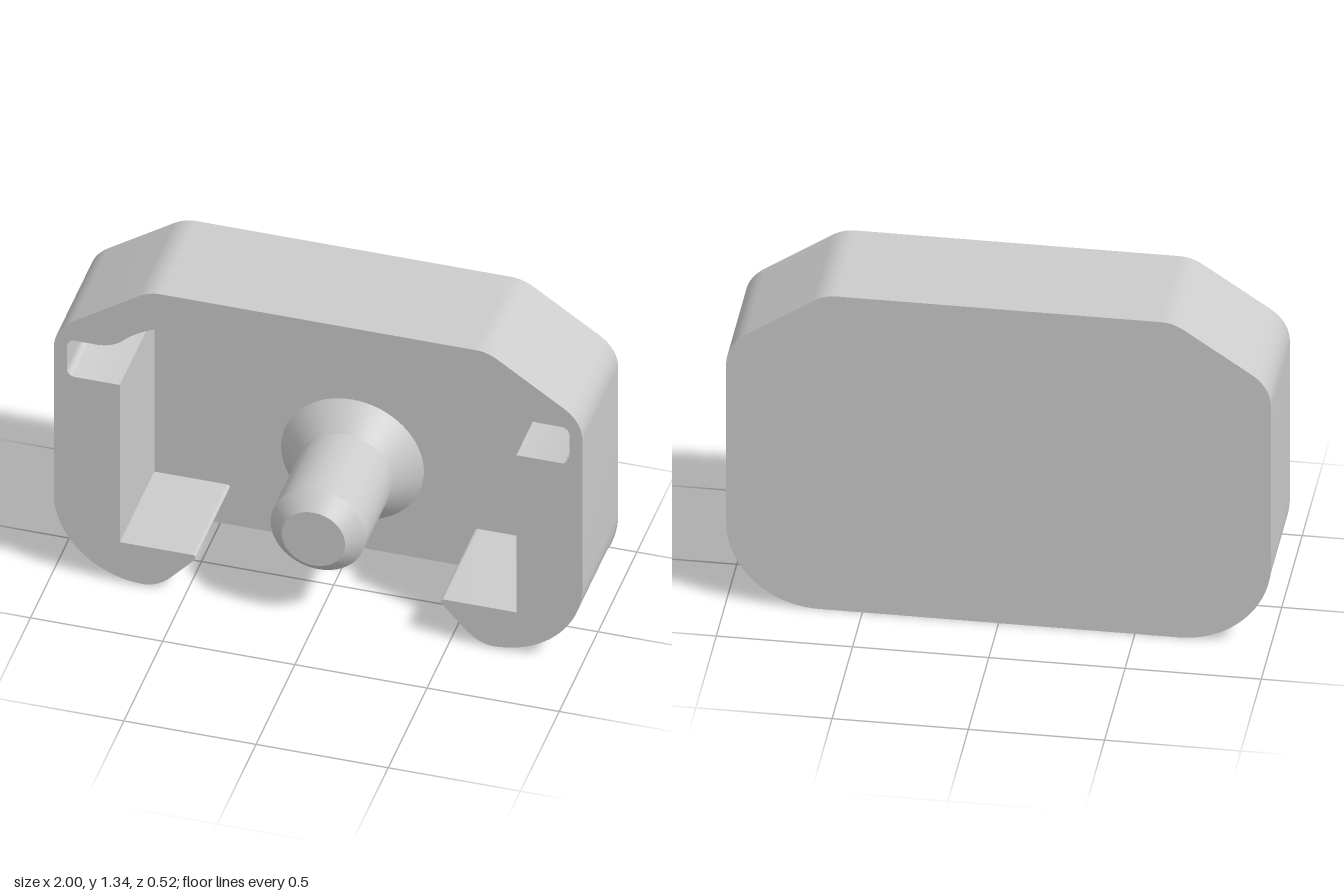
import * as THREE from 'three';
import { toCreasedNormals } from 'three/addons/utils/BufferGeometryUtils.js';

const BACK = -0.26, PLATE_FRONT = -0.243, RIM_FRONT = 0.2;

// Closed shape from a path on the +x side, mirrored across x = 0
function mirroredShape(path) {
  const half = path.getPoints(14);
  const other = half.filter(p => p.x > 1e-5).reverse().map(p => new THREE.Vector2(-p.x, p.y));
  return new THREE.Shape([...half, ...other]);
}

function slab(shape, z0, z1) {
  const g = new THREE.ExtrudeGeometry(shape, { depth: z1 - z0, bevelEnabled: false });
  g.translate(0, 0, z0);
  return toCreasedNormals(g, 0.5);
}

// Outer silhouette from the top centre down to the rounded lower corner
function outerPath(bottom) {
  const p = new THREE.Path();
  p.moveTo(0, 1.34);
  p.lineTo(0.595, 1.34);
  p.quadraticCurveTo(0.64, 1.34, 0.68, 1.313);
  p.lineTo(0.925, 1.148);
  p.quadraticCurveTo(1, 1.098, 1, 1.01);
  p.lineTo(1, bottom + 0.34);
  p.absarc(0.66, bottom + 0.34, 0.34, 0, -Math.PI / 2, true);
  return p;
}

export function createModel() {
  const group = new THREE.Group();
  const material = new THREE.MeshStandardMaterial({ color: 0xcccccc });
  const add = (name, geometry) => {
    const mesh = new THREE.Mesh(geometry, material);
    mesh.name = name;
    group.add(mesh);
    return mesh;
  };

  // Thin back plate
  const plate = outerPath(0);
  plate.lineTo(0, 0);
  add('backPlate', slab(mirroredShape(plate), BACK, PLATE_FRONT));

  // Rim, open at the bottom, with hooked ends, side slots and an arched top
  const rim = outerPath(0.008);
  rim.quadraticCurveTo(0.61, 0.01, 0.565, 0.053);
  rim.lineTo(0.472, 0.153);
  rim.quadraticCurveTo(0.452, 0.18, 0.478, 0.18);
  rim.lineTo(0.75, 0.18);
  rim.lineTo(0.75, 0.895);
  rim.lineTo(0.92, 0.895);
  rim.absarc(0.92, 0.925, 0.03, -Math.PI / 2, 0, false);
  rim.lineTo(0.95, 1.03);
  rim.absarc(0.92, 1.03, 0.03, 0, Math.PI / 2, false);
  rim.lineTo(0.84, 1.06);
  rim.quadraticCurveTo(0.775, 1.06, 0.73, 1.107);
  rim.bezierCurveTo(0.62, 1.215, 0.3, 1.275, 0, 1.275);
  add('rim', slab(mirroredShape(rim), PLATE_FRONT, RIM_FRONT));

  // Peg with a flared foot and a chamfered tip
  const profile = [[0.27, PLATE_FRONT], [0.18, -0.15], [0.18, 0.2], [0.12, 0.26], [0, 0.26]]
    .map(([r, z]) => new THREE.Vector2(r, z));
  const pegGeometry = new THREE.LatheGeometry(profile, 64);
  pegGeometry.rotateX(Math.PI / 2);
  const peg = add('peg', toCreasedNormals(pegGeometry, 0.5));
  peg.position.y = 0.397;

  return group;
}
